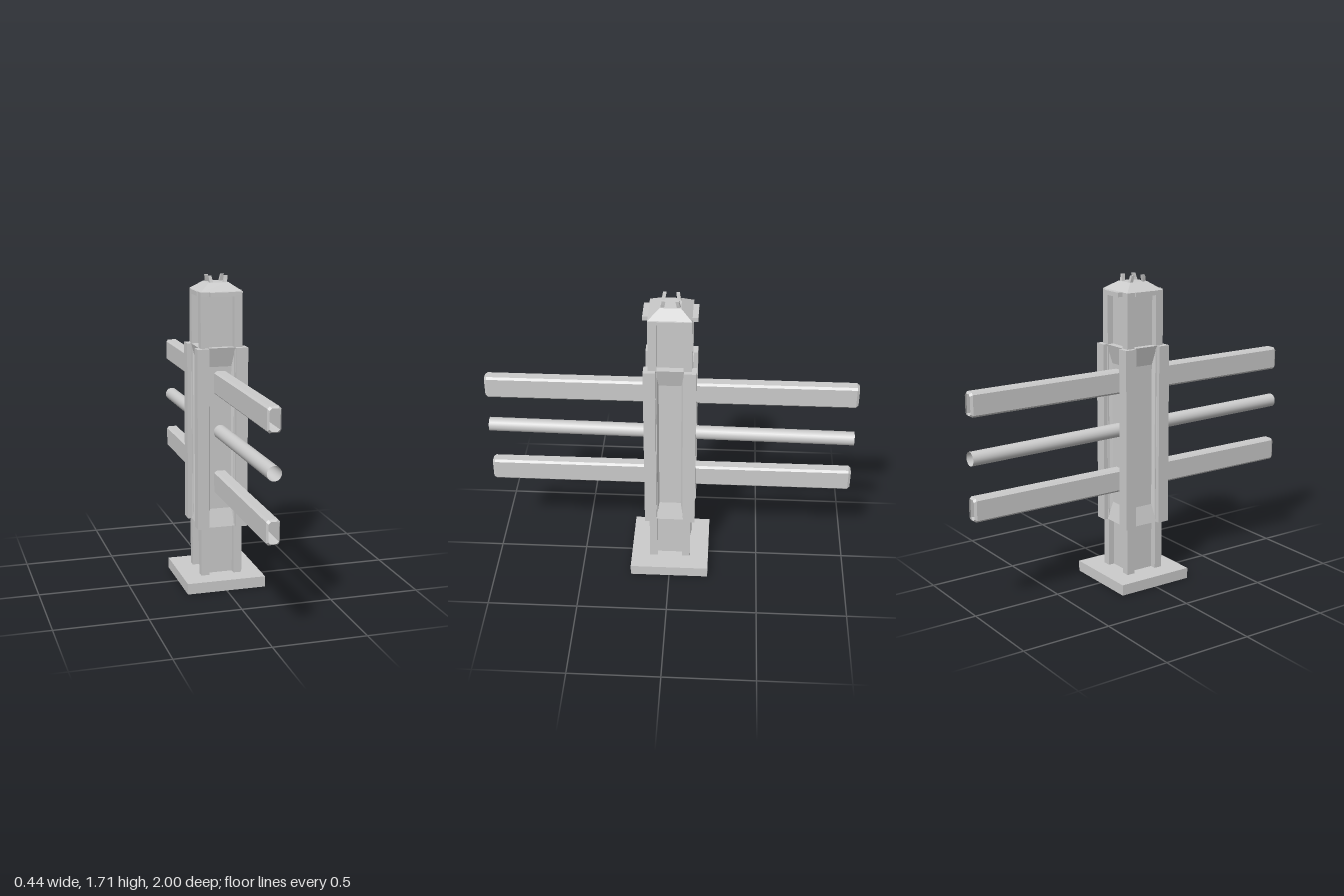
import * as THREE from 'three';

const mat = new THREE.MeshStandardMaterial({ color: 0xcccccc, flatShading: true, side: THREE.DoubleSide });
const smooth = new THREE.MeshStandardMaterial({ color: 0xcccccc, side: THREE.DoubleSide });

// Joins matching rings of points with quads; can close the last ring.
function loft(rings, capEnd = false) {
  const pos = [], idx = [], n = rings[0].length;
  rings.forEach(r => r.forEach(p => pos.push(...p)));
  for (let i = 0; i < rings.length - 1; i++) {
    for (let j = 0; j < n; j++) {
      const a = i * n + j, b = i * n + (j + 1) % n;
      idx.push(a, b, b + n, a, b + n, a + n);
    }
  }
  if (capEnd) {
    const s = (rings.length - 1) * n;
    for (let j = 1; j < n - 1; j++) idx.push(s, s + j, s + j + 1);
  }
  const g = new THREE.BufferGeometry();
  g.setAttribute('position', new THREE.Float32BufferAttribute(pos, 3));
  g.setIndex(idx);
  const flat = g.toNonIndexed();
  flat.computeVertexNormals();
  return flat;
}

// Horizontal rectangle, wound so that lofts going up face outward.
const rect = (x, z, y, cx = 0, cz = 0) =>
  [[cx - x, y, cz + z], [cx + x, y, cz + z], [cx + x, y, cz - z], [cx - x, y, cz - z]];

// Upright rectangle facing +z.
const upright = (x, y0, y1, z) => [[-x, y0, z], [x, y0, z], [x, y1, z], [-x, y1, z]];

export function createModel() {
  const model = new THREE.Group();
  const add = (name, geo, material = mat, parent = model) => {
    const m = new THREE.Mesh(geo, material);
    m.name = name;
    parent.add(m);
    return m;
  };
  const box = (name, w, h, d, x, y, z) =>
    add(name, new THREE.BoxGeometry(w, h, d)).position.set(x, y, z);

  // Hollow base plate with a square opening under the post
  add('basePlate', loft([rect(0.22, 0.22, 0), rect(0.22, 0.22, 0.06), rect(0.08, 0.08, 0.06)]));

  // Hollow post core
  add('postCore', loft([rect(0.08, 0.08, 0.06), rect(0.08, 0.08, 1.63)]));

  // Corner columns of the post and of the thicker sleeve
  for (const sx of [-1, 1]) {
    for (const sz of [-1, 1]) {
      box('postColumn', 0.045, 1.565, 0.045, sx * 0.0925, 0.8425, sz * 0.0925);
      box('sleeveColumn', 0.065, 0.995, 0.065, sx * 0.1075, 0.8325, sz * 0.1075);
    }
  }

  // Recessed sleeve panels on the four sides
  const panel = loft([
    upright(0.076, 0.335, 1.33, 0.075),
    upright(0.076, 0.335, 1.33, 0.118),
    upright(0.06, 0.435, 1.225, 0.092),
  ], true);
  for (let i = 0; i < 4; i++) add('sleevePanel', panel).rotation.y = i * Math.PI / 2;

  // Rails: bevelled bars with open ends
  const section = (s, z) => {
    const w = 0.035 - s, h = 0.064 - s, c = 0.011;
    return [[-w + c, -h, z], [w - c, -h, z], [w, -h + c, z], [w, h - c, z],
      [w - c, h, z], [-w + c, h, z], [-w, h - c, z], [-w, -h + c, z]];
  };
  const rail = loft([section(0.008, -1), section(0, -0.987), section(0, 0.987), section(0.008, 1)]);
  for (const y of [0.585, 1.137]) add('rail', rail).position.y = y;

  // Slightly tilted open tube between the rails
  const rod = new THREE.CylinderGeometry(0.038, 0.038, 1.998, 24, 1, true);
  rod.rotateX(Math.PI / 2);
  const tube = add('middleTube', rod, smooth);
  tube.position.y = 0.866;
  tube.rotation.x = -0.012;

  // Cap: sloped lid with a tab on each side
  add('cap', loft([rect(0.115, 0.115, 1.605), rect(0.115, 0.115, 1.627), rect(0.055, 0.055, 1.67)], true));
  for (const s of [-1, 1]) {
    box('capTabFrontBack', 0.14, 0.024, 0.04, 0, 1.616, s * 0.123);
    box('capTabSide', 0.03, 0.024, 0.13, s * 0.109, 1.616, 0);
  }

  // Four leaning clips on the lid
  for (const sx of [-1, 1]) {
    for (const sz of [-1, 1]) {
      add('clip', loft([
        rect(0.01, 0.01, 1.66, sx * 0.036, sz * 0.044),
        rect(0.009, 0.009, 1.685, sx * 0.041, sz * 0.038),
        rect(0.008, 0.009, 1.706, sx * 0.044, sz * 0.034),
      ], true));
    }
  }
  return model;
}
